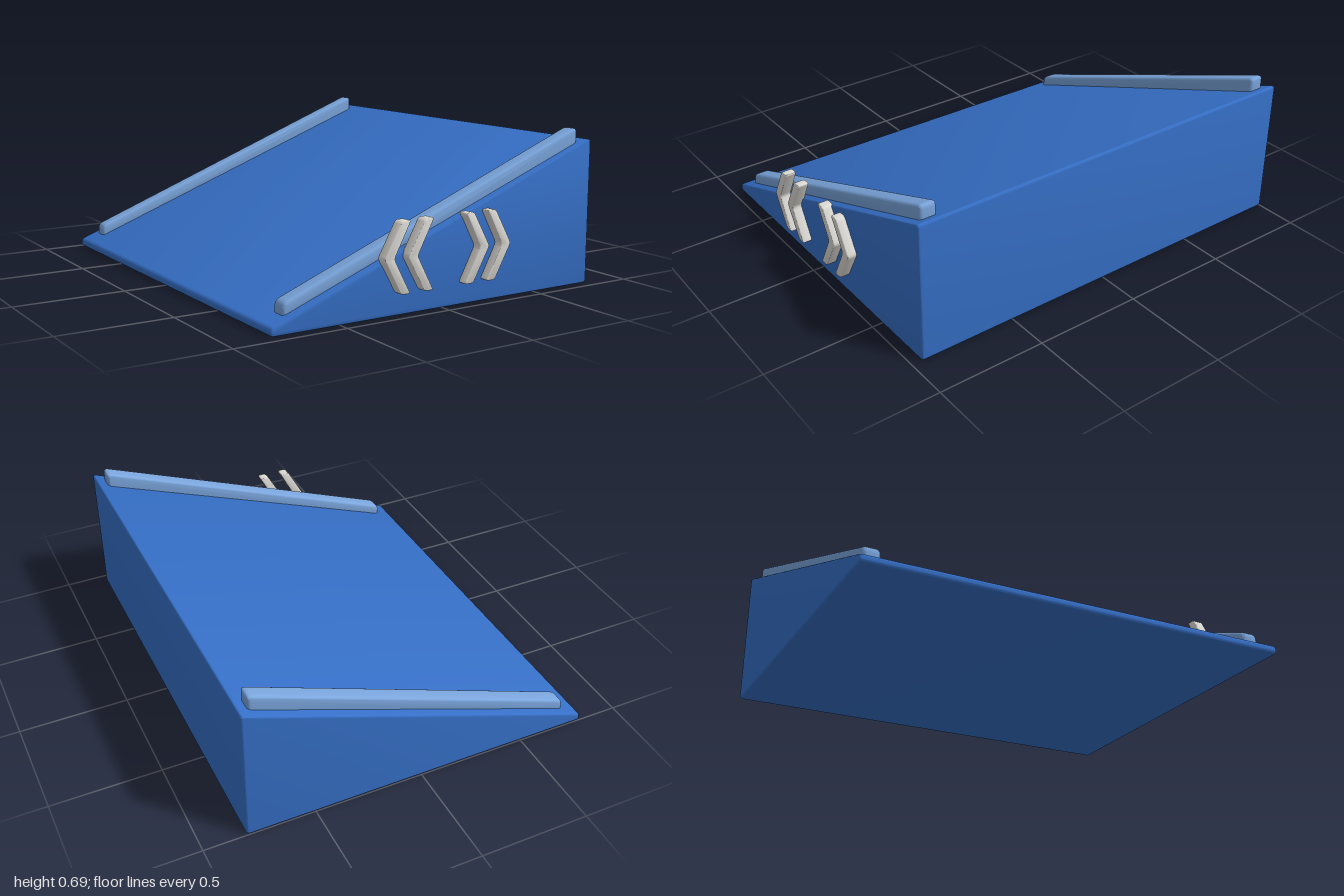
import * as THREE from 'three';
import { toCreasedNormals } from 'three/addons/utils/BufferGeometryUtils.js';

const blue = new THREE.MeshStandardMaterial({ name: 'foam blue', color: 0x3670c8 });
const lightBlue = new THREE.MeshStandardMaterial({ name: 'rail light blue', color: 0x7aa5dc });
const pale = new THREE.MeshStandardMaterial({ name: 'marker pale grey', color: 0xdcdad5 });

// Closed outline whose corners are cut back by d and rounded
function roundedShape(points, d) {
  const p = points.map(([x, y]) => new THREE.Vector2(x, y));
  const shape = new THREE.Shape();
  p.forEach((c, i) => {
    const prev = p[(i + p.length - 1) % p.length];
    const next = p[(i + 1) % p.length];
    const a = c.clone().add(prev.clone().sub(c).setLength(d));
    const b = c.clone().add(next.clone().sub(c).setLength(d));
    if (i === 0) shape.moveTo(a.x, a.y);
    else shape.lineTo(a.x, a.y);
    shape.quadraticCurveTo(c.x, c.y, b.x, b.y);
  });
  shape.closePath();
  return shape;
}

// Outline extruded from z0 to z1 with softened rims
function slab(name, points, z0, z1, corner, bevel, material) {
  const geometry = new THREE.ExtrudeGeometry(roundedShape(points, corner), {
    depth: z1 - z0 - 2 * bevel,
    bevelThickness: bevel,
    bevelSize: bevel,
    bevelOffset: -bevel,
    bevelSegments: 4,
    curveSegments: 5,
  });
  geometry.translate(0, 0, z0 + bevel);
  const mesh = new THREE.Mesh(toCreasedNormals(geometry, 0.6), material);
  mesh.name = name;
  return mesh;
}

export function createModel() {
  const model = new THREE.Group();
  model.name = 'wedgeRamp';

  // Ramp body
  const wedge = [[-0.815, 0.005], [0.81, 0.005], [0.81, 0.655], [-0.815, 0.04]];
  model.add(slab('rampBody', wedge, -1, 0.955, 0.017, 0.011, blue));

  // Side rails lying along the slope
  const rail = [[-0.738, 0.045], [0.765, 0.61], [0.765, 0.704], [-0.738, 0.118]];
  model.add(slab('backRail', rail, -0.96, -0.885, 0.025, 0.016, lightBlue));
  model.add(slab('frontRail', rail, 0.837, 0.915, 0.025, 0.016, lightBlue));

  // Chevron pairs on the front, pointing outwards
  for (const side of [-1, 1]) {
    for (const tip of [0.21, 0.325]) {
      const outline = [[0, 0.25], [-0.084, 0.4], [-0.13, 0.4], [-0.05, 0.25], [-0.13, 0.1], [-0.084, 0.1]]
        .map(([x, y]) => [side * (x + tip), y]);
      const name = side < 0 ? 'rightChevron' : 'leftChevron';
      model.add(slab(name, outline, 0.945, 0.997, 0.014, 0.006, pale));
    }
  }
  return model;
}
